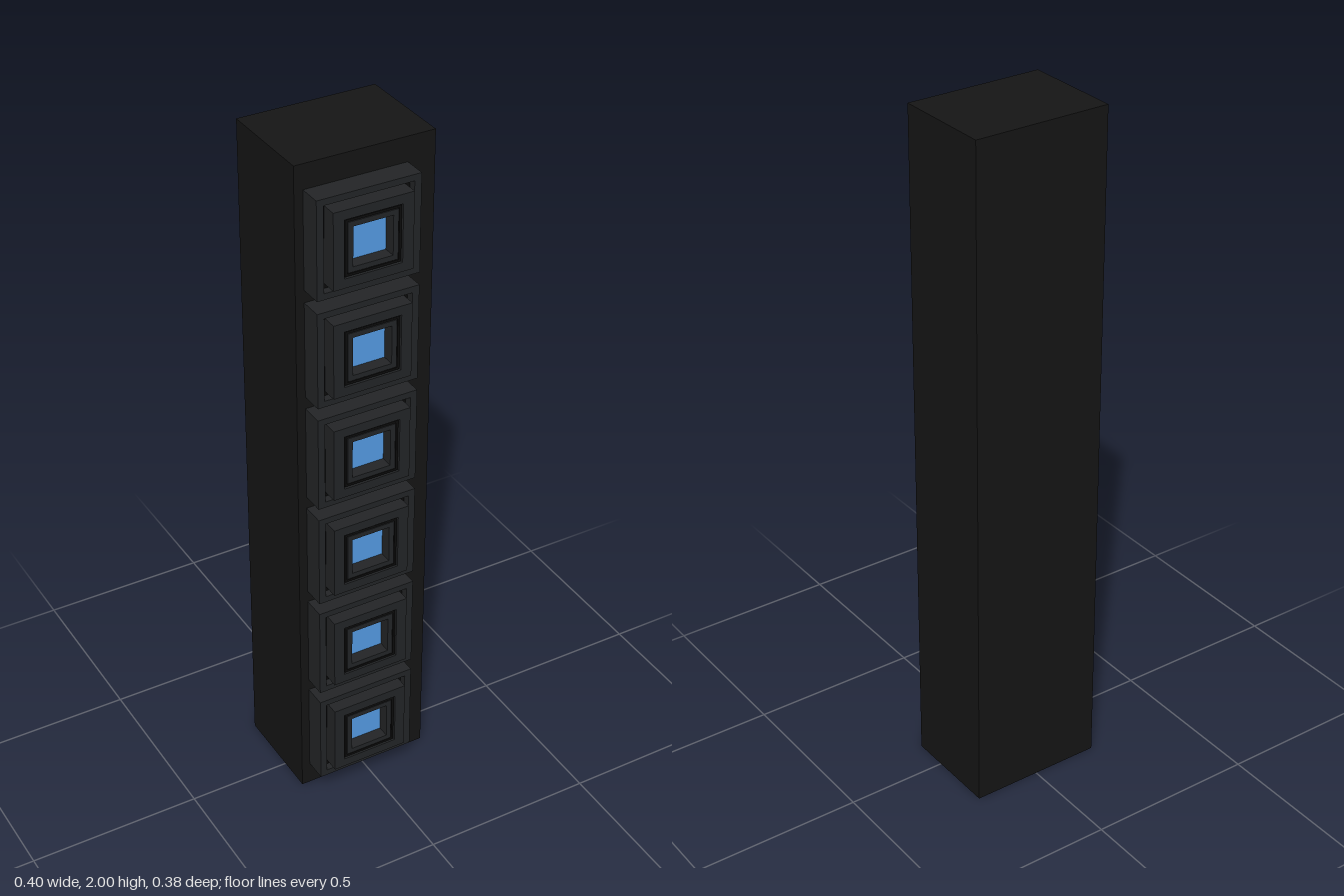
import * as THREE from 'three';

const mat = (color) => new THREE.MeshStandardMaterial({ color });
const bodyMat = mat(0x151515);
const blackMat = mat(0x0c0c0c);
const frameMat = mat(0x232527);
const blueMat = mat(0x559de6);

// Solid block spanning z0..z1
function block(name, w, h, z0, z1, material) {
  const mesh = new THREE.Mesh(new THREE.BoxGeometry(w, h, z1 - z0), material);
  mesh.position.z = (z0 + z1) / 2;
  mesh.name = name;
  return mesh;
}

// Rectangular frame with a w x h outside and a holeW x holeH opening
function frame(name, w, h, holeW, holeH, z0, z1, material) {
  const rect = (p, a, b) => {
    p.moveTo(-a / 2, -b / 2);
    p.lineTo(a / 2, -b / 2);
    p.lineTo(a / 2, b / 2);
    p.lineTo(-a / 2, b / 2);
    p.closePath();
    return p;
  };
  const shape = rect(new THREE.Shape(), w, h);
  shape.holes.push(rect(new THREE.Path(), holeW, holeH));
  const geo = new THREE.ExtrudeGeometry(shape, { depth: z1 - z0, bevelEnabled: false });
  const mesh = new THREE.Mesh(geo, material);
  mesh.position.z = z0;
  mesh.name = name;
  return mesh;
}

// One stepped lamp unit with a recessed blue lens
function createLamp() {
  const lamp = new THREE.Group();
  lamp.add(
    frame('housing', 0.296, 0.28, 0.256, 0.244, 0.1, 0.168, frameMat),
    block('backPlate', 0.26, 0.248, 0.1, 0.145, blackMat),
    frame('outerBezel', 0.229, 0.217, 0.166, 0.164, 0.14, 0.191, frameMat),
    frame('middleBezel', 0.16, 0.158, 0.147, 0.145, 0.14, 0.188, blackMat),
    frame('innerBezel', 0.143, 0.141, 0.114, 0.112, 0.14, 0.188, frameMat),
    block('lens', 0.18, 0.178, 0.14, 0.152, blueMat)
  );
  return lamp;
}

export function createModel() {
  const model = new THREE.Group();
  model.name = 'lampColumn';

  // Tall column
  const body = block('column', 0.4, 2, -0.193, 0.102, bodyMat);
  body.position.y = 1;
  model.add(body);

  // Six lamps stacked up the front, set off to one side
  for (let i = 0; i < 6; i++) {
    const lamp = createLamp();
    lamp.name = `lamp${i + 1}`;
    lamp.position.set(-0.027, 0.21 + i * 0.316, 0);
    model.add(lamp);
  }
  return model;
}
